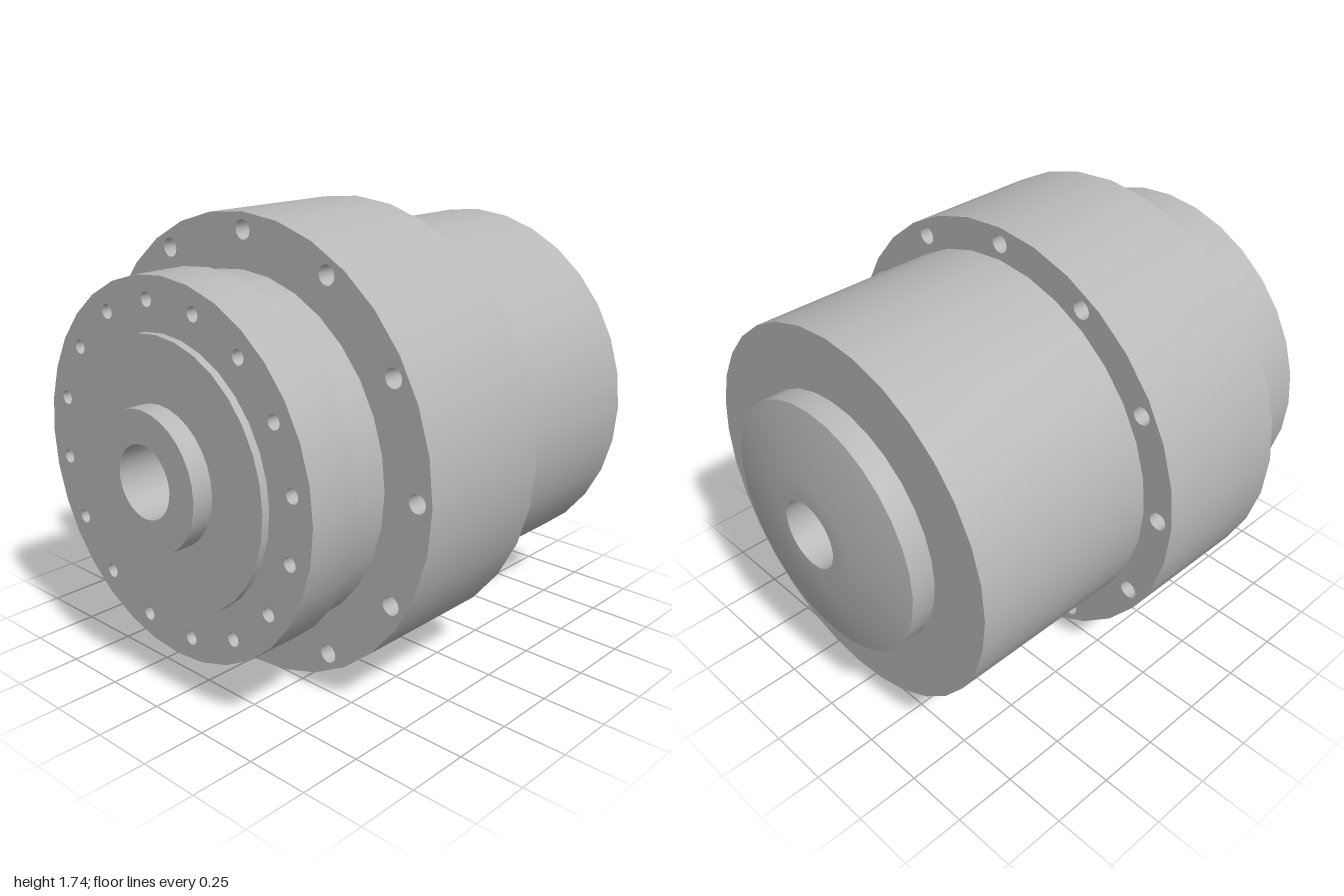
import * as THREE from 'three';
import { toCreasedNormals } from 'three/addons/utils/BufferGeometryUtils.js';

const SIDES = 32;
const CREASE = 0.5;

// Points of a regular polygon standing in for a circle
function circle(r, n, cx = 0, cy = 0) {
  const pts = [];
  for (let i = 0; i < n; i++) {
    const a = (i / n) * Math.PI * 2;
    pts.push(new THREE.Vector2(cx + r * Math.cos(a), cy + r * Math.sin(a)));
  }
  return pts;
}

// Centres of evenly spaced bolt holes
function boltCircle(r, count, offset = 0) {
  return circle(r, count).map((p) => p.rotateAround(new THREE.Vector2(), offset));
}

// Flat ring drilled with holes, running from z0 to z1
function drilledRing(outer, inner, z0, z1, centres, holeR) {
  const shape = new THREE.Shape(circle(outer, SIDES));
  shape.holes.push(new THREE.Path(circle(inner, SIDES)));
  for (const c of centres) shape.holes.push(new THREE.Path(circle(holeR, 14, c.x, c.y)));
  const geo = new THREE.ExtrudeGeometry(shape, { depth: z1 - z0, bevelEnabled: false });
  geo.translate(0, 0, z0);
  return toCreasedNormals(geo, CREASE);
}

// Profile of [radius, z] pairs turned around the z axis
function turned(profile, sides) {
  const geo = new THREE.LatheGeometry(profile.map(([r, z]) => new THREE.Vector2(r, z)), sides);
  geo.rotateX(Math.PI / 2);
  return toCreasedNormals(geo, CREASE);
}

export function createModel() {
  const group = new THREE.Group();
  const steel = new THREE.MeshStandardMaterial({ color: 0xb8b8b8 });
  steel.name = 'steel grey';

  const add = (name, geo) => {
    const mesh = new THREE.Mesh(geo, steel);
    mesh.name = name;
    group.add(mesh);
    return mesh;
  };

  // Turned core: domed rear cap, rear barrel, neck, front hub and through bore
  add('core', turned([
    [0.135, -1], [0.235, -1], [0.495, -0.945], [0.495, -0.85],
    [0.74, -0.85], [0.74, 0], [0.665, 0], [0.665, 0.68],
    [0.5, 0.68], [0.5, 0.92], [0.258, 0.92], [0.258, 1],
    [0.135, 1], [0.135, -1],
  ], SIDES));

  // Wide housing with twelve through holes
  add('housing', drilledRing(0.868, 0.62, -0.07, 0.52, boltCircle(0.805, 12), 0.036));

  // Front output ring with sixteen blind holes
  const blind = boltCircle(0.61, 16, THREE.MathUtils.degToRad(7.6));
  add('outputRing', drilledRing(0.695, 0.48, 0.68, 0.89, blind, 0.027));

  // Conical drill bottoms of the blind holes
  const drillPoint = turned([[0.028, 0], [0, -0.016]], 14);
  for (const c of blind) add('drillPoint', drillPoint).position.set(c.x, c.y, 0.8);

  group.position.y = 0.868;
  const model = new THREE.Group();
  model.name = 'rotaryDrive';
  model.add(group);
  return model;
}
